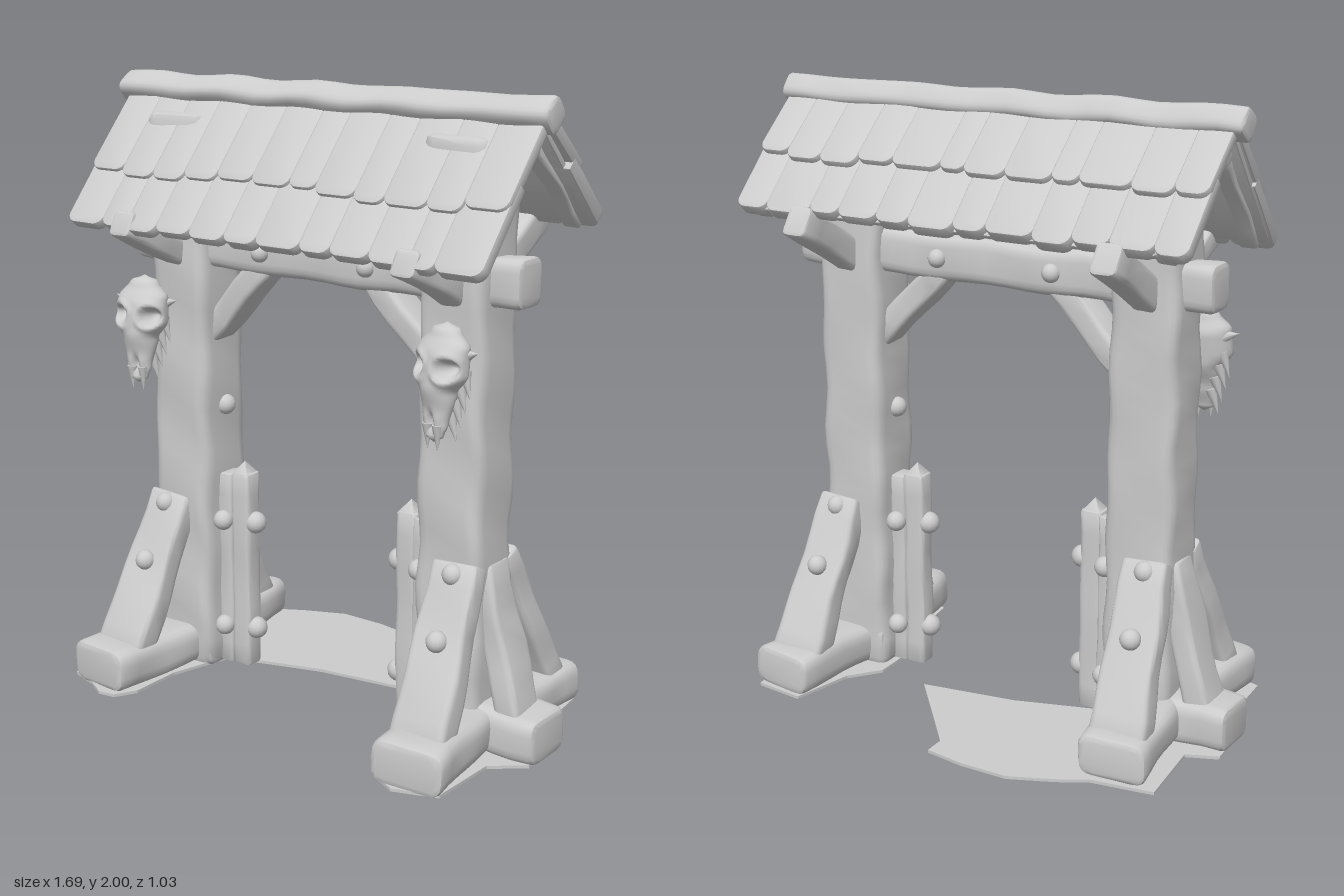
import * as THREE from 'three';
import { mergeVertices, toCreasedNormals } from 'three/addons/utils/BufferGeometryUtils.js';

const stone = new THREE.MeshStandardMaterial({ color: 0xcccccc });
stone.name = 'paleGrey';
const V = (x, y, z) => new THREE.Vector3(x, y, z);

let seed = 7;
const rand = () => (seed = (seed * 16807) % 2147483647) / 2147483647;
const jitter = (a) => (rand() - 0.5) * 2 * a;

function add(parent, name, geometry) {
  const mesh = new THREE.Mesh(geometry, stone);
  mesh.name = name;
  parent.add(mesh);
  return mesh;
}

function roundedRect(w, h, r) {
  const s = new THREE.Shape(), x = w / 2, y = h / 2;
  s.moveTo(-x + r, -y);
  s.lineTo(x - r, -y).quadraticCurveTo(x, -y, x, -y + r);
  s.lineTo(x, y - r).quadraticCurveTo(x, y, x - r, y);
  s.lineTo(-x + r, y).quadraticCurveTo(-x, y, -x, y - r);
  s.lineTo(-x, -y + r).quadraticCurveTo(-x, -y, -x + r, -y);
  return s;
}

// Hand-hewn timber from a to b: rounded section, slight waviness, optional taper
function beam(parent, name, a, b, w, h, { taper = 1, wobble = 0.004, round = 0.25, roll = 0 } = {}) {
  const dir = b.clone().sub(a), len = dir.length(), bev = Math.min(w, h) * 0.12;
  const geo = new THREE.ExtrudeGeometry(roundedRect(w, h, Math.min(w, h) * round), {
    depth: len - 2 * bev, steps: Math.max(2, Math.round(len / 0.07)), curveSegments: 4,
    bevelSize: bev, bevelOffset: -bev, bevelThickness: bev, bevelSegments: 2,
  });
  geo.translate(0, 0, bev);
  const p = geo.attributes.position, k = rand() * 6;
  for (let i = 0; i < p.count; i++) {
    const z = p.getZ(i), s = 1 + (taper - 1) * z / len;
    const x = p.getX(i) * s, y = p.getY(i) * s;
    p.setXY(i, x + wobble * Math.sin(z * 21 + y * 14 + k), y + wobble * Math.sin(z * 17 + x * 15 + k * 2));
  }
  geo.rotateZ(roll);
  const Z = dir.normalize();
  const X = Math.abs(Z.x) > 0.2 ? V(0, 0, 1) : V(1, 0, 0);
  const Y = Z.clone().cross(X).normalize();
  X.copy(Y).cross(Z);
  geo.applyMatrix4(new THREE.Matrix4().makeBasis(X, Y, Z).setPosition(a));
  return add(parent, name, toCreasedNormals(geo, 0.75));
}

// Domed peg
function bolt(parent, x, y, z, r = 0.034) {
  const m = add(parent, 'bolt', new THREE.SphereGeometry(r, 14, 10));
  m.position.set(x, y, z);
}

// Shingle or board lying on the slope between (z, y) points top and foot
function slab(parent, name, x, w, top, foot, thick, drop = 0) {
  const up = V(0, top[1] - foot[1], top[0] - foot[0]), len = up.length() + drop;
  up.normalize();
  const X = V(up.z < 0 ? 1 : -1, 0, 0), N = X.clone().cross(up), c = Math.min(w * 0.3, 0.03);
  const s = new THREE.Shape();
  s.moveTo(-w / 2, len);
  s.lineTo(-w / 2, c).quadraticCurveTo(-w / 2 + 0.005, 0.004, -w / 2 + c, 0);
  s.lineTo(w / 2 - c, 0).quadraticCurveTo(w / 2 - 0.005, 0.004, w / 2, c);
  s.lineTo(w / 2, len);
  const geo = new THREE.ExtrudeGeometry(s, {
    depth: thick - 0.012, curveSegments: 4, bevelSize: 0.005, bevelOffset: -0.005, bevelThickness: 0.006, bevelSegments: 2,
  });
  geo.translate(0, -drop, -thick);
  geo.applyMatrix4(new THREE.Matrix4().makeBasis(X, up, N).setPosition(x, foot[1], foot[0]));
  add(parent, name, toCreasedNormals(geo, 0.6));
}

// Row of uneven shingles
function course(parent, name, top, foot, thick, uneven) {
  const n = 12, edge = [-0.775];
  for (let i = 1; i < n; i++) edge.push(-0.775 + (1.555 * i) / n + jitter(0.025));
  edge.push(0.785);
  for (let i = 0; i < n; i++)
    slab(parent, name, (edge[i] + edge[i + 1]) / 2, edge[i + 1] - edge[i] + 0.002, top, foot, thick + jitter(0.004), jitter(uneven));
}

// Piecewise-linear lookup in [t, value] pairs
function lerpAt(pts, t) {
  let i = 1;
  while (i < pts.length - 1 && t > pts[i][0]) i++;
  const [a, b] = [pts[i - 1], pts[i]];
  return a[1] + (b[1] - a[1]) * THREE.MathUtils.smoothstep(t, a[0], b[0]);
}

// Animal skull, crown at y = 0, muzzle hanging down
function skull(name) {
  const g = new THREE.Group();
  g.name = name;
  const W = [[0, 0], [0.06, 0.05], [0.2, 0.088], [0.42, 0.092], [0.58, 0.06], [0.85, 0.043], [0.95, 0.032], [1, 0]];
  const D = [[0, 0], [0.06, 0.035], [0.25, 0.06], [0.5, 0.06], [0.75, 0.035], [0.95, 0.02], [1, 0]];
  const geo = new THREE.SphereGeometry(1, 40, 44);
  const p = geo.attributes.position, uv = geo.attributes.uv;
  for (let i = 0; i < p.count; i++) {
    const t = 1 - uv.getY(i), r = Math.hypot(p.getX(i), p.getZ(i)) || 1;
    const x = (p.getX(i) / r) * lerpAt(W, t), y = -0.35 * t, side = p.getZ(i) / r;
    let z = side * lerpAt(D, t) + 0.05 * t;
    if (side > 0) {
      const eye = Math.hypot(Math.abs(x) - 0.056, y + 0.125), nose = Math.hypot(x * 1.8, (y + 0.285) * 0.7);
      z += -0.055 * Math.exp(-((eye / 0.024) ** 2)) + 0.014 * Math.exp(-(((eye - 0.037) / 0.012) ** 2));
      z -= 0.025 * Math.exp(-((nose / 0.018) ** 2));
    }
    p.setXYZ(i, x, y, z);
  }
  geo.deleteAttribute('uv');
  geo.deleteAttribute('normal');
  const smooth = mergeVertices(geo, 1e-4);
  smooth.computeVertexNormals();
  add(g, 'cranium', smooth);
  const spike = (part, x, y, z, r, len, tilt) => {
    const m = add(g, part, new THREE.ConeGeometry(r, len, 10));
    m.position.set(x, y, z);
    m.rotation.z = tilt;
  };
  for (const s of [-1, 1]) {
    spike('hornStub', s * 0.088, -0.085, -0.005, 0.024, 0.06, -s * 1.3);
    spike('muzzleProng', s * 0.02, -0.335, 0.055, 0.018, 0.08, Math.PI);
    for (let i = 0; i < 4; i++)
      spike('jawSpike', s * (0.078 - i * 0.012), -0.18 - i * 0.042, -0.005 + i * 0.006, 0.02, 0.085, Math.PI + s * 0.3);
  }
  return g;
}

// Thin ground patch from [x, z] outline points
function patch(parent, name, pts) {
  const s = new THREE.Shape(pts.map(([x, z]) => new THREE.Vector2(x, -z)));
  const geo = new THREE.ExtrudeGeometry(s, { depth: 0.01, bevelEnabled: false });
  add(parent, name, geo.rotateX(-Math.PI / 2).translate(0, 0.005, 0));
}

export function createModel() {
  const root = new THREE.Group();
  root.name = 'roofedGateway';
  const C = 0.035; // z of the frame's centre plane

  for (const s of [-1, 1]) {
    const side = new THREE.Group();
    side.name = s > 0 ? 'leftSide' : 'rightSide';
    root.add(side);

    // Post, feet and struts
    beam(side, 'post', V(s * 0.53, 0.01, C), V(s * 0.53, 1.88, C), 0.232, 0.22, { wobble: 0.005, round: 0.2, taper: 0.97 });
    beam(side, 'frontFoot', V(s * 0.57, 0.08, 0.05), V(s * 0.62, 0.08, 0.475), 0.23, 0.135, { taper: 1.05, round: 0.35 });
    beam(side, 'backFoot', V(s * 0.57, 0.08, 0.02), V(s * 0.615, 0.08, -0.39), 0.22, 0.135, { round: 0.35 });
    beam(side, 'outerFoot', V(s * 0.42, 0.08, 0.03), V(s * 0.845, 0.08, 0.03), 0.2, 0.145, { round: 0.3 });
    beam(side, 'frontStrut', V(s * 0.6, 0.1, 0.36), V(s * 0.57, 0.6, 0.12), 0.2, 0.095, { taper: 0.8 });
    beam(side, 'backStrut', V(s * 0.6, 0.1, -0.3), V(s * 0.57, 0.6, -0.055), 0.19, 0.095, { taper: 0.8 });
    beam(side, 'outerStrut', V(s * 0.745, 0.08, 0.03), V(s * 0.615, 0.59, 0.03), 0.15, 0.09, { taper: 0.8 });
    bolt(side, s * 0.575, 0.58, 0.165);
    bolt(side, s * 0.585, 0.4, 0.262);
    bolt(side, s * 0.575, 0.58, -0.095);
    bolt(side, s * 0.585, 0.4, -0.205);
    bolt(side, s * 0.415, 0.92, C);

    // Gate stub against the inner face of the post
    beam(side, 'gateBoard', V(s * 0.395, 0.02, C), V(s * 0.395, 0.69, C), 0.06, 0.08, { wobble: 0.002 });
    beam(side, 'gateStake', V(s * 0.335, 0.02, C), V(s * 0.335, 0.7, C), 0.075, 0.07, { wobble: 0.002 });
    const tip = add(side, 'gateStakeTip', new THREE.ConeGeometry(0.047, 0.045, 4).rotateY(Math.PI / 4));
    tip.position.set(s * 0.335, 0.715, C);
    for (const y of [0.155, 0.53]) {
      bolt(side, s * 0.293, y, C, 0.037);
      bolt(side, s * 0.395, y, C + 0.045);
      bolt(side, s * 0.395, y, C - 0.045);
    }

    // Brace under the crossbeam and arms carrying the eaves
    beam(side, 'brace', V(s * 0.45, 1.17, C), V(s * 0.2, 1.43, C), 0.11, 0.085);
    beam(side, 'frontArm', V(s * 0.535, 1.41, 0.08), V(s * 0.535, 1.555, 0.38), 0.085, 0.085);
    beam(side, 'backArm', V(s * 0.535, 1.41, 0), V(s * 0.535, 1.6, -0.325), 0.085, 0.1);
    bolt(side, s * 0.205, 1.46, C + 0.07, 0.03);
    bolt(side, s * 0.205, 1.46, C - 0.07, 0.03);

    // Rafters over the post
    beam(side, 'frontRafter', V(s * 0.7, 1.87, 0.06), V(s * 0.7, 1.54, 0.345), 0.06, 0.045);
    beam(side, 'backRafter', V(s * 0.7, 1.87, 0), V(s * 0.7, 1.6, -0.28), 0.06, 0.045);

    // Hanging skull
    const head = skull(s > 0 ? 'leftSkull' : 'rightSkull');
    head.position.set(s > 0 ? 0.565 : -0.61, 1.36, 0.2);
    head.rotation.y = s > 0 ? -0.2 : 0.15;
    side.add(head);
  }

  // Cross timbers
  beam(root, 'crossbeam', V(-0.74, 1.46, C), V(0.74, 1.46, C), 0.135, 0.15, { round: 0.3 });
  beam(root, 'kingPost', V(0, 1.5, C), V(0, 1.88, C), 0.1, 0.09);
  beam(root, 'ridgePurlin', V(-0.74, 1.855, C), V(0.74, 1.855, C), 0.085, 0.085, { round: 0.45 });

  // Roof
  const roof = new THREE.Group();
  roof.name = 'roof';
  root.add(roof);
  beam(roof, 'ridgeCap', V(-0.805, 1.943, C), V(0.805, 1.943, C), 0.095, 0.09, { round: 0.35, roll: 0.65 });
  slab(roof, 'frontDeck', 0, 1.53, [0.05, 1.915], [0.35, 1.56], 0.02);
  slab(roof, 'backDeck', 0, 1.53, [0.01, 1.915], [-0.285, 1.615], 0.02);
  course(roof, 'lowerFrontShingle', [0.195, 1.775], [0.388, 1.55], 0.04, 0.008);
  course(roof, 'upperFrontShingle', [0.05, 1.955], [0.272, 1.705], 0.035, 0.016);
  course(roof, 'lowerBackShingle', [-0.12, 1.82], [-0.315, 1.625], 0.045, 0.01);
  course(roof, 'upperBackShingle', [0.01, 1.955], [-0.19, 1.78], 0.035, 0.014);

  // Ground patches
  patch(root, 'rightGroundPatch', [
    [-0.76, -0.38], [-0.56, -0.41], [-0.47, -0.46], [-0.33, -0.52], [-0.17, -0.52], [-0.04, -0.5], [-0.04, -0.43],
    [0.06, -0.31], [0.22, -0.12], [-0.1, -0.07], [-0.42, 0.03], [-0.48, 0.25], [-0.48, 0.43], [-0.52, 0.5],
    [-0.58, 0.51], [-0.65, 0.47], [-0.75, 0.44], [-0.76, 0.2], [-0.83, 0.12], [-0.84, -0.08], [-0.74, -0.12],
  ]);
  patch(root, 'leftGroundPatch', [
    [0.53, -0.41], [0.7, -0.39], [0.73, -0.12], [0.83, -0.08], [0.83, 0.12], [0.73, 0.2], [0.72, 0.44],
    [0.58, 0.49], [0.5, 0.45], [0.47, 0.2], [0.4, 0.1], [0.4, -0.1], [0.48, -0.2],
  ]);
  return root;
}
